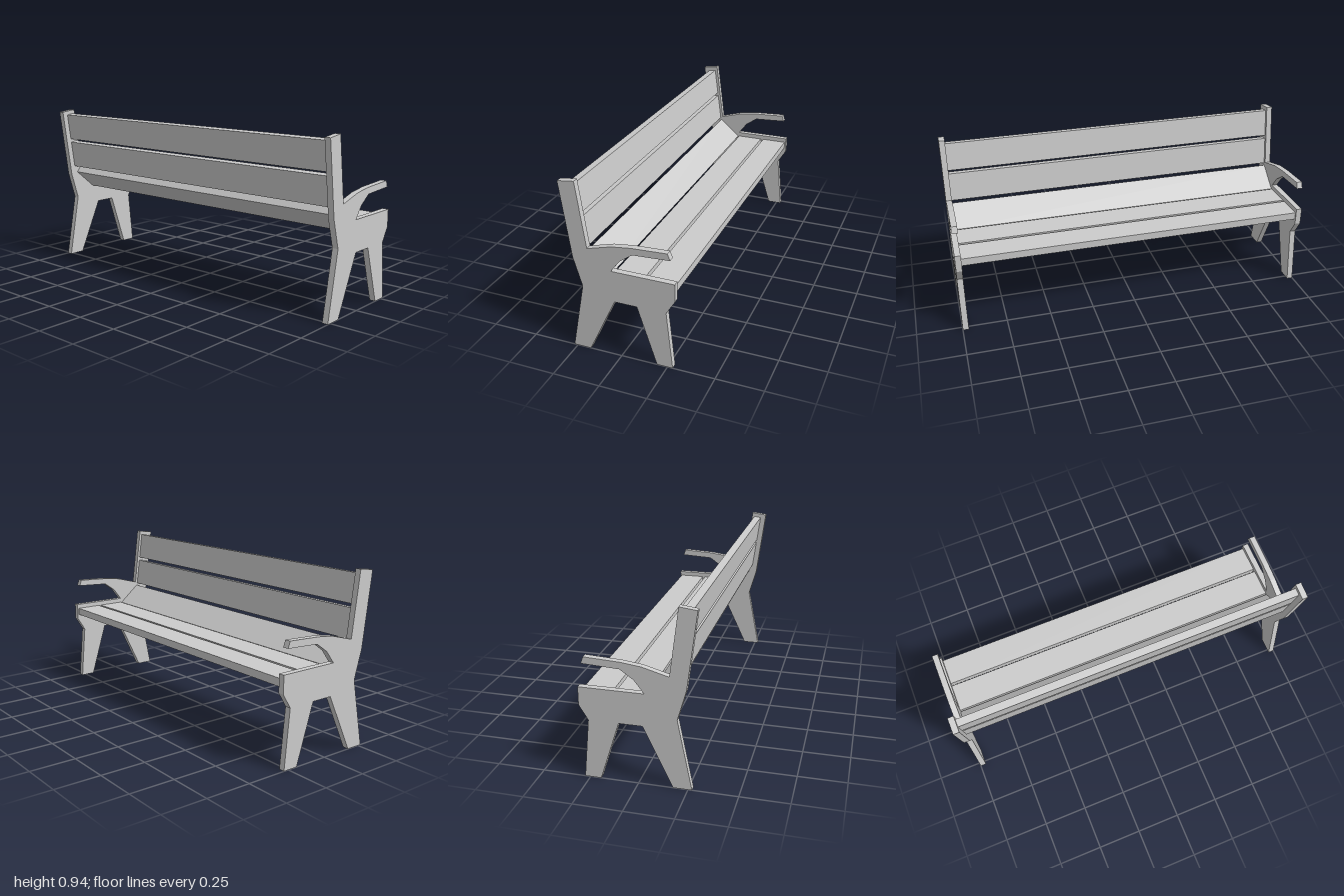
import * as THREE from 'three';

const INNER = 0.967, OUTER = 1;
const material = new THREE.MeshStandardMaterial({ color: 0xcccccc, flatShading: true });

// Extrudes an x-y outline from z0 to z1
function extrude(name, points, z0, z1) {
  const shape = new THREE.Shape(points.map(([x, y]) => new THREE.Vector2(x, y)));
  const geometry = new THREE.ExtrudeGeometry(shape, { depth: z1 - z0, bevelEnabled: false });
  geometry.translate(0, 0, z0);
  const mesh = new THREE.Mesh(geometry, material);
  mesh.name = name;
  return mesh;
}

// Plank whose visible face runs from a to b, with its thickness to the left of a->b
function slat(name, [ax, ay], [bx, by], thickness = 0.042) {
  const length = Math.hypot(bx - ax, by - ay);
  const nx = -(by - ay) / length * thickness, ny = (bx - ax) / length * thickness;
  return extrude(name, [[ax, ay], [bx, by], [bx + nx, by + ny], [ax + nx, ay + ny]], -INNER, INNER);
}

export function createModel() {
  const bench = new THREE.Group();
  bench.name = 'bench';

  // End panel: legs, seat support, armrest and back post in one outline
  const outline = [
    [-0.27, 0], [-0.175, 0], [-0.026, 0.316], [0.094, 0.316], [0.194, 0], [0.278, 0],
    [0.248, 0.316], [0.295, 0.392], [0.295, 0.488], [-0.038, 0.488],
    [0.012, 0.554], [0.08, 0.602], [0.273, 0.612], [0.26, 0.647],
    [0.075, 0.638], [-0.028, 0.625], [-0.161, 0.588],
    [-0.207, 0.936], [-0.296, 0.925], [-0.243, 0.525], [-0.198, 0.369],
  ];
  bench.add(extrude('leftEndPanel', outline, INNER, OUTER));
  bench.add(extrude('rightEndPanel', outline, -OUTER, -INNER));

  // Seat planks, the rear one tilted up towards the backrest
  bench.add(slat('seatSlatFront', [0.135, 0.42], [0.286, 0.42]));
  bench.add(slat('seatSlatMiddle', [-0.037, 0.42], [0.119, 0.42]));
  bench.add(slat('seatSlatRear', [-0.045, 0.46], [-0.17, 0.566]));

  // Backrest planks
  bench.add(slat('backSlatLower', [-0.175, 0.58], [-0.196, 0.737]));
  bench.add(slat('backSlatUpper', [-0.199, 0.757], [-0.22, 0.912]));

  return bench;
}
